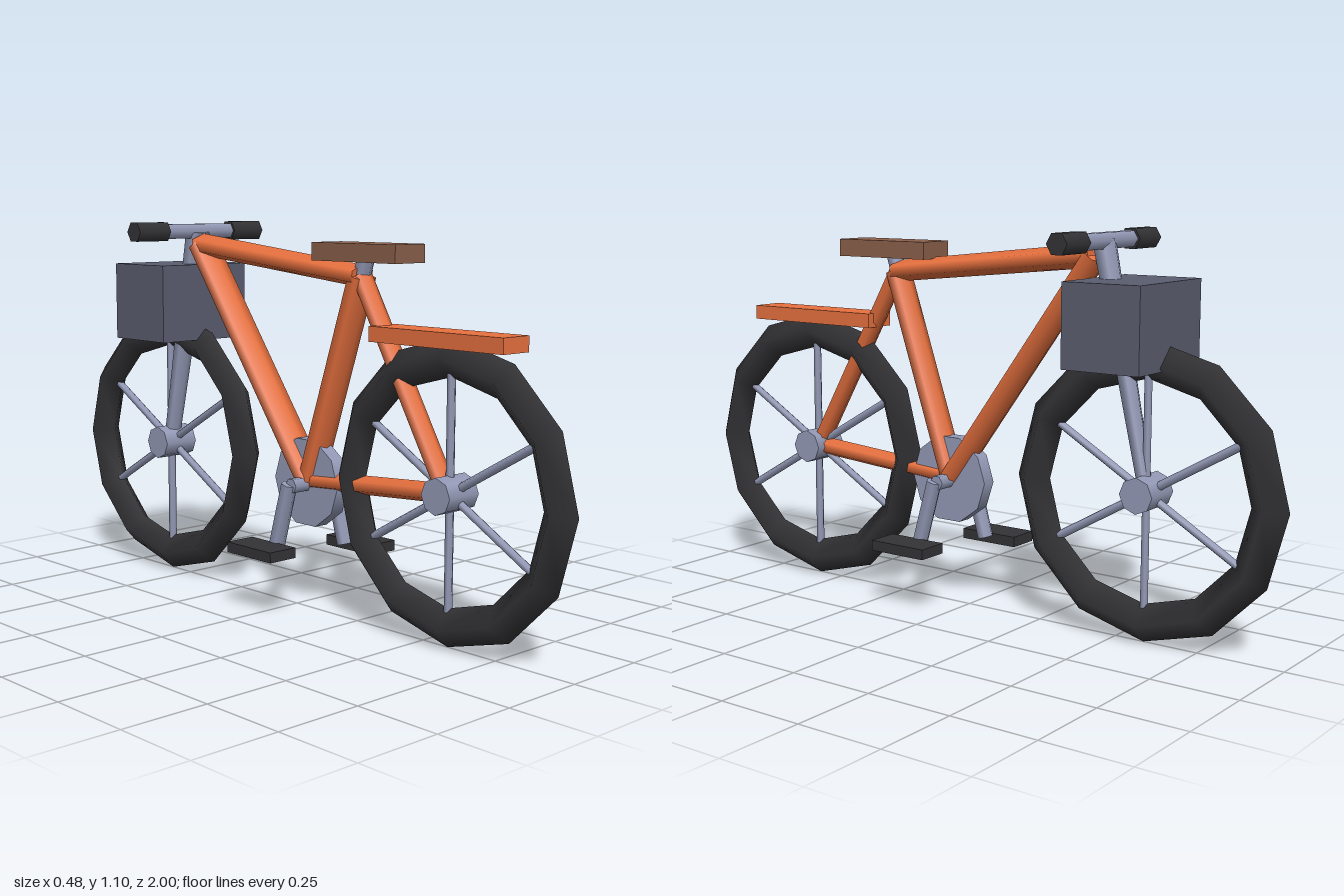
import * as THREE from 'three';

const paint = (color) => new THREE.MeshStandardMaterial({ color });

export function createModel() {
  const bike = new THREE.Group();
  const orange = paint(0xe8713f);
  const rubber = paint(0x343437);
  const steel = paint(0x959bb8);
  const leather = paint(0x8b604b);
  const basketGrey = paint(0x5b5e70);

  const add = (name, geometry, material, parent = bike) => {
    const mesh = new THREE.Mesh(geometry, material);
    mesh.name = name;
    parent.add(mesh);
    return mesh;
  };

  // Box given by its limits on each axis
  const box = (name, material, [x0, x1], [y0, y1], [z0, z1]) => {
    const mesh = add(name, new THREE.BoxGeometry(x1 - x0, y1 - y0, z1 - z0), material);
    mesh.position.set((x0 + x1) / 2, (y0 + y1) / 2, (z0 + z1) / 2);
  };

  // Six-sided tube between two [y, z] points; width is its half size along x
  const tube = (name, material, a, b, r0, r1 = r0, width = r0 * 0.87, x = 0) => {
    const from = new THREE.Vector3(x, ...a);
    const to = new THREE.Vector3(x, ...b);
    const dir = to.clone().sub(from);
    const mesh = add(name, new THREE.CylinderGeometry(r1, r0, dir.length(), 6), material);
    mesh.scale.x = width / (r0 * 0.866);
    mesh.position.copy(from).add(to).multiplyScalar(0.5);
    mesh.quaternion.setFromUnitVectors(new THREE.Vector3(0, 1, 0), dir.normalize());
  };

  // Cylinder lying along x
  const axle = (name, material, r, x0, x1, y, z, sides, parent = bike) => {
    const geometry = new THREE.CylinderGeometry(r, r, x1 - x0, sides).rotateZ(Math.PI / 2);
    add(name, geometry, material, parent).position.set((x0 + x1) / 2, y, z);
  };

  // Wheels: tyre, hub and three full-width spoke rods
  for (const [name, z] of [['rearWheel', 0.587], ['frontWheel', -0.587]]) {
    const wheel = new THREE.Group();
    wheel.name = name;
    wheel.position.set(0, 0.416, z);
    add('tyre', new THREE.TorusGeometry(0.36, 0.053, 4, 12).rotateY(Math.PI / 2), rubber, wheel);
    axle('hub', steel, 0.05, -0.057, 0.057, 0, 0, 8, wheel);
    for (let i = 0; i < 3; i++) {
      const spoke = add('spoke', new THREE.CylinderGeometry(0.012, 0.012, 0.66, 6), steel, wheel);
      spoke.rotation.x = (i * Math.PI) / 3;
    }
    bike.add(wheel);
  }

  // Frame
  const head = [1.04, -0.42];
  const seat = [0.97, 0.26];
  const bracket = [0.38, 0.06];
  const rearHub = [0.416, 0.58];
  tube('topTube', orange, seat, head, 0.031, 0.033, 0.04);
  tube('downTube', orange, bracket, head, 0.033, 0.033, 0.044);
  tube('seatTube', orange, bracket, seat, 0.03, 0.03, 0.04);
  tube('seatStay', orange, rearHub, seat, 0.025, 0.025, 0.028);
  tube('chainStay', orange, rearHub, bracket, 0.027, 0.027, 0.028);

  // Saddle and rear rack
  tube('seatPost', steel, seat, [1.02, 0.275], 0.025);
  box('saddle', leather, [-0.057, 0.057], [1.01, 1.06], [0.12, 0.437]);
  box('rearRack', orange, [-0.05, 0.05], [0.8, 0.842], [0.335, 0.797]);

  // Fork, handlebar and basket
  tube('fork', steel, [0.416, -0.587], [1.08, -0.445], 0.021, 0.032, 0.022);
  axle('handlebar', steel, 0.025, -0.13, 0.13, 1.08, -0.45, 6);
  for (const x of [-0.181, 0.181]) {
    axle('grip', rubber, 0.032, x - 0.057, x + 0.057, 1.08, -0.45, 6);
  }
  box('basket', basketGrey, [-0.16, 0.16], [0.75, 0.98], [-0.65, -0.415]);

  // Chainring, cranks and pedals
  axle('chainring', steel, 0.13, -0.022, 0.022, 0.375, 0.06, 10);
  axle('crankAxle', steel, 0.022, -0.08, 0.08, 0.372, 0.06, 6);
  for (const side of [1, -1]) {
    const z = 0.06 + side * 0.063;
    tube('crank', steel, [0.375, 0.06 + side * 0.01], [0.19, z], 0.024, 0.024, 0.021, side * 0.076);
    const xs = [side * 0.09, side * 0.185].sort((a, b) => a - b);
    box('pedal', rubber, xs, [0.17, 0.2], [z - 0.093, z + 0.093]);
  }
  return bike;
}
